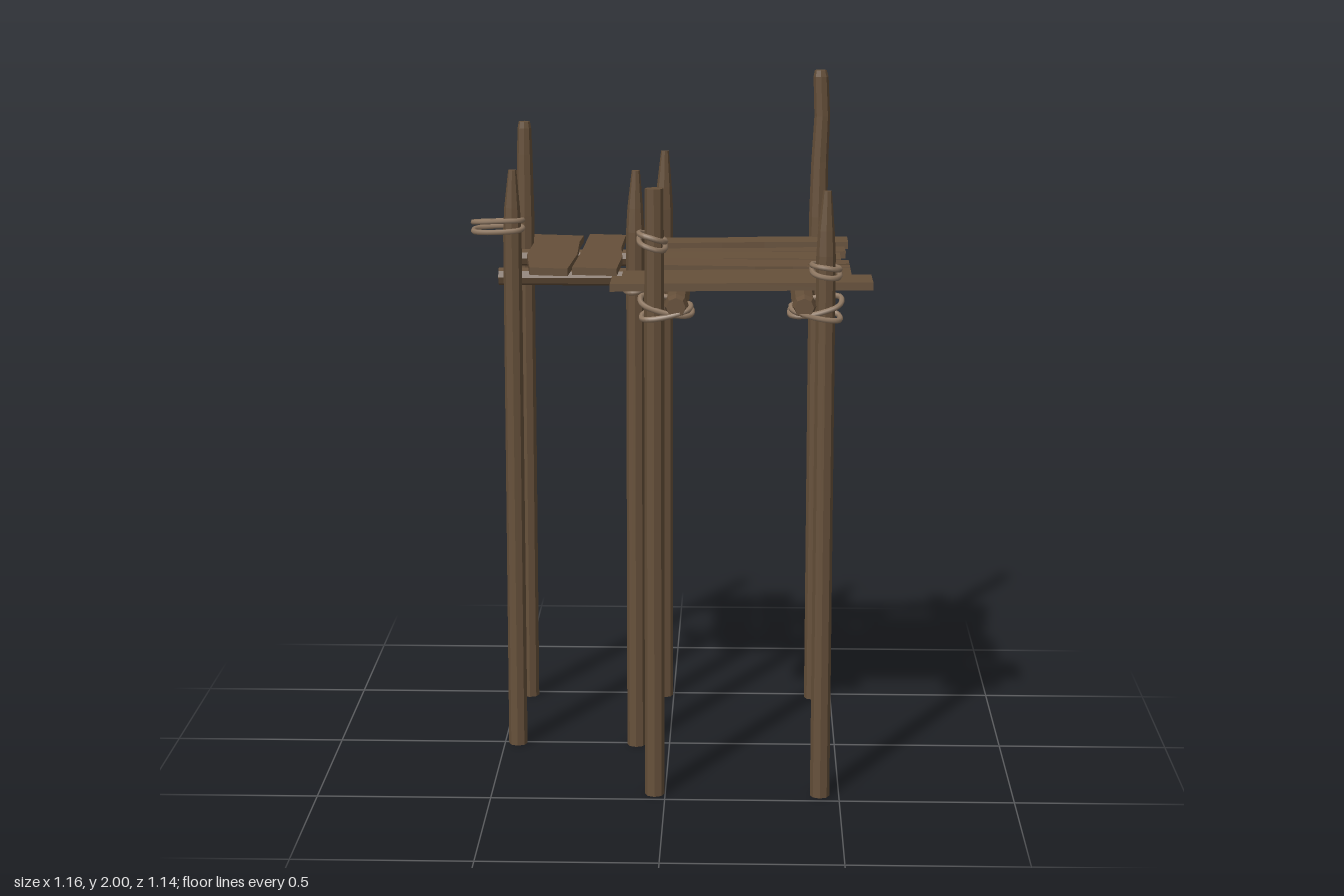
import * as THREE from 'three';

const wood = new THREE.MeshStandardMaterial({ color: 0x66503a, flatShading: true });
const rope = new THREE.MeshStandardMaterial({ color: 0x8f7862 });

function add(group, name, geometry, material = wood) {
  const mesh = new THREE.Mesh(geometry, material);
  mesh.name = name;
  group.add(mesh);
  return mesh;
}

// Rough pole along y; each row is [height, radius, x offset, z offset]
function poleGeometry(rows) {
  const n = rows.length - 1;
  const g = new THREE.CylinderGeometry(1, 1, 1, 8, n);
  const p = g.attributes.position;
  for (let i = 0; i < p.count; i++) {
    const [y, r, dx = 0, dz = 0] = rows[Math.round((p.getY(i) + 0.5) * n)];
    p.setXYZ(i, p.getX(i) * r + dx, y, p.getZ(i) * r + dz);
  }
  g.computeVertexNormals();
  return g;
}

// Plank from an outline of [x, z] corners, with slopes along x and z
function plankGeometry(outline, y, slopeX = 0, slopeZ = 0, thick = 0.022) {
  const shape = new THREE.Shape(outline.map(([x, z]) => new THREE.Vector2(x, -z)));
  const g = new THREE.ExtrudeGeometry(shape, { depth: thick, bevelEnabled: false });
  g.rotateX(-Math.PI / 2);
  g.computeBoundingBox();
  const c = g.boundingBox.getCenter(new THREE.Vector3());
  const p = g.attributes.position;
  for (let i = 0; i < p.count; i++) {
    p.setY(i, y + p.getY(i) + slopeX * (p.getX(i) - c.x) + slopeZ * (p.getZ(i) - c.z));
  }
  g.computeVertexNormals();
  return g;
}

// Closed oval rope loop, tilted along x and z
function loopGeometry(x, y, z, rx, rz, tiltX = 0, tiltZ = 0) {
  const pts = [];
  for (let i = 0; i < 16; i++) {
    const a = (i / 16) * Math.PI * 2;
    const c = Math.cos(a), s = Math.sin(a);
    // slightly squared oval
    const k = 1 + 0.1 * Math.sin(2 * a) ** 2;
    pts.push(new THREE.Vector3(x + rx * c * k, y + tiltX * c + tiltZ * s, z + rz * s * k));
  }
  return new THREE.TubeGeometry(new THREE.CatmullRomCurve3(pts, true), 40, 0.008, 6, true);
}

export function createModel() {
  const model = new THREE.Group();
  model.name = 'woodenScaffold';

  // Upright posts: pointed, blunt or tall tops
  const pointed = [[0, 0.028], [1.57, 0.027], [1.64, 0.023], [1.75, 0.012, 0.002, 0.002]];
  const blunt = [[0, 0.028], [1.4, 0.028], [1.755, 0.026]];
  const high = [[0, 0.028], [1.55, 0.028], [1.72, 0.026, 0.003], [1.86, 0.024, 0.009, 0.003],
    [1.98, 0.023, 0.004, 0.004], [2, 0.018, 0.003, 0.004]];
  const medium = [[0, 0.028], [1.55, 0.028], [1.74, 0.024], [1.82, 0.021], [1.84, 0.017]];
  const posts = [
    ['sideBackPost', -0.46, -0.47, medium], ['sideFrontPost', -0.46, 0.01, pointed],
    ['innerPost', -0.1, 0.012, pointed], ['backRightPost', -0.03, -0.48, pointed],
    ['backLeftPost', 0.445, -0.468, high], ['frontRightPost', -0.03, 0.452, blunt],
    ['frontLeftPost', 0.445, 0.452, pointed],
  ];
  for (const [name, x, z, rows] of posts) add(model, name, poleGeometry(rows)).position.set(x, 0, z);

  // Long beams under the main deck
  for (const x of [0.031, 0.386]) {
    const beam = add(model, 'longBeam', poleGeometry([[-0.53, 0.034], [0.5, 0.034], [0.53, 0.027]]));
    beam.rotation.x = Math.PI / 2;
    beam.position.set(x, 1.428, -0.044);
  }
  // Short beams under the side deck
  for (const z of [-0.41, -0.046]) {
    const beam = add(model, 'shortBeam', poleGeometry([[-0.25, 0.026], [0.25, 0.026]]));
    beam.rotation.z = Math.PI / 2;
    beam.position.set(-0.256, 1.427, z);
  }

  // Main deck planks, back to front
  const deck = [
    [[[-0.14, -0.443], [0.15, -0.446], [0.28, -0.456], [0.534, -0.452], [0.534, -0.34], [0.28, -0.345], [0.15, -0.338], [-0.14, -0.331]], 1.465, 0.01],
    [[[-0.13, -0.293], [0.05, -0.312], [0.3, -0.302], [0.522, -0.323], [0.522, -0.195], [0.39, -0.2], [0.15, -0.19], [-0.13, -0.207]], 1.455, 0.012, 0.04],
    [[[-0.13, -0.172], [0.2, -0.17], [0.503, -0.169], [0.503, -0.043], [0.2, -0.039], [-0.05, -0.039], [-0.13, -0.07], [-0.12, -0.08], [-0.06, -0.082], [-0.13, -0.098]], 1.462],
    [[[-0.06, -0.033], [0.25, -0.02], [0.36, -0.032], [0.525, -0.033], [0.525, 0.035], [0.46, 0.05], [0.3, 0.074], [0.525, 0.057], [0.525, 0.108], [0.36, 0.102], [0.25, 0.11], [-0.06, 0.11]], 1.463, -0.01],
    [[[-0.13, 0.135], [0.2, 0.124], [0.4, 0.125], [0.525, 0.11], [0.525, 0.241], [0.36, 0.25], [0.2, 0.252], [-0.13, 0.263]], 1.456, 0.01],
    [[[-0.155, 0.278], [0.2, 0.283], [0.578, 0.287], [0.578, 0.427], [0.2, 0.422], [-0.155, 0.42]], 1.465, 0.012],
  ];
  for (const [outline, y, sx, sz] of deck) add(model, 'deckPlank', plankGeometry(outline, y, sx, sz));

  // Side deck planks
  const side = [
    [[[-0.438, -0.528], [-0.283, -0.53], [-0.288, -0.4], [-0.28, -0.15], [-0.292, 0.126], [-0.402, 0.126], [-0.428, -0.12], [-0.425, -0.35]], 1.458, -0.03],
    [[[-0.265, -0.558], [-0.152, -0.556], [-0.155, -0.3], [-0.144, -0.12], [-0.15, 0.11], [-0.28, 0.11], [-0.27, -0.2]], 1.456, -0.02],
  ];
  for (const [outline, y, sx, sz] of side) add(model, 'sidePlank', plankGeometry(outline, y, sx, sz));

  // Crossed lashings tying posts to beams
  const lashings = [
    [0.003, -0.485, 0.072, 0.033, 1], [0.418, -0.478, 0.072, 0.03, -1],
    [0.003, 0.447, 0.072, 0.032, 1], [0.418, 0.447, 0.072, 0.032, -1],
  ];
  for (const [x, z, rx, rz, s] of lashings) {
    add(model, 'lashing', loopGeometry(x, 1.428, z, rx, rz, -0.018 * s, -0.018), rope);
    add(model, 'lashing', loopGeometry(x, 1.41, z, rx * 0.95, rz * 1.1, 0.016 * s, -0.01), rope);
  }
  for (const s of [1, -1]) {
    add(model, 'innerLashing', loopGeometry(-0.1, 1.42 + 0.008 * s, -0.02, 0.034, 0.066, 0.006, 0.016 * s), rope);
  }

  // Slack double loops hanging on the posts
  for (const d of [-0.012, 0.012]) {
    add(model, 'slackLoop', loopGeometry(-0.502, 1.587 + d, 0.006, 0.072, 0.038, 0.003, d / 3), rope);
    add(model, 'slackLoop', loopGeometry(-0.034, 1.617 + d * 0.7, 0.492, 0.036, 0.066, -0.012, d / 2), rope);
    add(model, 'slackLoop', loopGeometry(0.444, 1.538 + d * 0.6, 0.492, 0.038, 0.066, -0.006, d / 2), rope);
  }
  return model;
}
